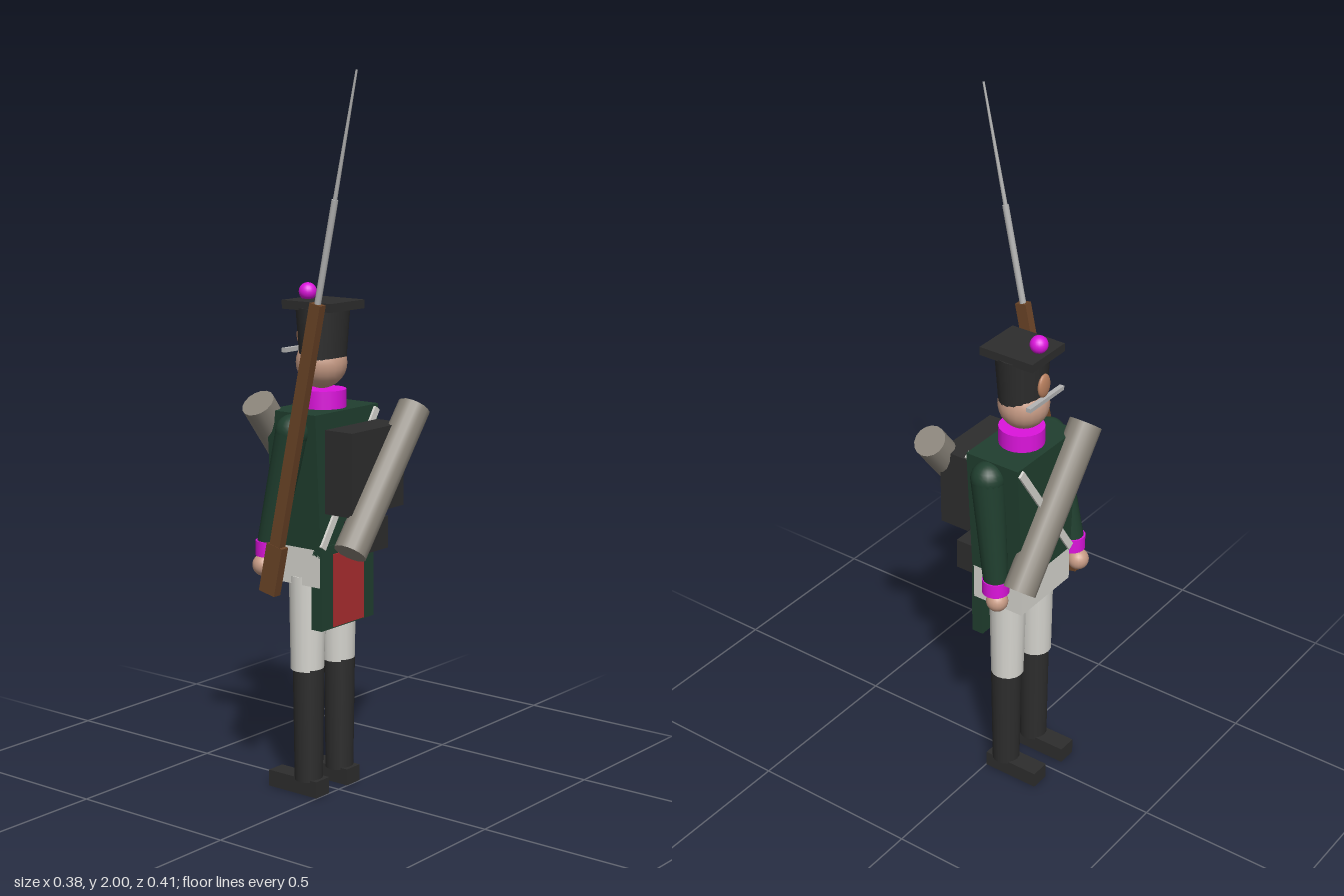
import * as THREE from 'three';

const mat = (name, color, extra = {}) => {
  const m = new THREE.MeshStandardMaterial({ color, ...extra });
  m.name = name;
  return m;
};

export function createModel() {
  const group = new THREE.Group();
  const green = mat('coat green', 0x203f2f);
  const black = mat('black leather', 0x2d2d2d);
  const white = mat('white cloth', 0xd6d5cf);
  const grey = mat('blanket grey', 0x8a847a);
  const magenta = mat('facing magenta', 0xdc14dc);
  const red = mat('turnback red', 0xaa2c2f);
  const brown = mat('wood brown', 0x6b4427);
  const skin = mat('skin', 0xc89c86);
  const steel = mat('steel', 0xb4b4b4);
  const copper = mat('copper', 0xb9805f);

  const add = (name, geo, material, x = 0, y = 0, z = 0) => {
    const m = new THREE.Mesh(geo, material);
    m.name = name;
    m.position.set(x, y, z);
    group.add(m);
    return m;
  };
  const box = (name, material, w, h, d, x, y, z) =>
    add(name, new THREE.BoxGeometry(w, h, d), material, x, y, z);
  const ball = (name, material, r, x, y, z) =>
    add(name, new THREE.SphereGeometry(r, 20, 14), material, x, y, z);
  // Tapered rod between two points
  const UP = new THREE.Vector3(0, 1, 0);
  const rod = (name, material, a, b, ra, rb = ra, sides = 16) => {
    const p = new THREE.Vector3(...a), q = new THREE.Vector3(...b);
    const dir = q.clone().sub(p);
    const m = add(name, new THREE.CylinderGeometry(rb, ra, dir.length(), sides), material);
    m.position.copy(p).add(q).multiplyScalar(0.5);
    m.quaternion.setFromUnitVectors(UP, dir.normalize());
    return m;
  };

  // Legs and boots
  for (const s of [-1, 1]) {
    rod('trouserLeg', white, [s * 0.069, 0.36, -0.056], [s * 0.066, 0.63, -0.056], 0.047, 0.053);
    rod('boot', black, [s * 0.069, 0.04, -0.052], [s * 0.069, 0.365, -0.052], 0.04, 0.044);
    box('foot', black, 0.058, 0.047, 0.172, s * 0.069, 0.0235, -0.088);
  }

  // Torso tapering to the waist
  const torso = new THREE.BoxGeometry(0.276, 0.375, 0.17);
  const pos = torso.attributes.position;
  for (let i = 0; i < pos.count; i++) {
    if (pos.getY(i) < 0) pos.setX(i, pos.getX(i) * 0.84);
  }
  torso.computeVertexNormals();
  add('torso', torso, green, 0, 0.9025, -0.055);
  box('waistBand', white, 0.23, 0.108, 0.164, 0, 0.664, -0.056);

  // Coat tails with coloured panel
  box('coatTails', green, 0.23, 0.235, 0.036, 0, 0.607, 0.015);
  box('turnback', red, 0.134, 0.205, 0.006, 0, 0.596, 0.034);

  // Shoulder belt across chest and back
  for (const z of [-0.143, 0.033]) {
    const strap = box('crossBelt', white, 0.022, 0.43, 0.008, 0.008, 0.9, z);
    strap.rotation.z = -Math.atan2(0.24, 0.36);
  }

  // Arms: the right one reaches forward to the musket
  for (const [s, wz, hz] of [[1, -0.077, -0.08], [-1, -0.122, -0.145]]) {
    ball('shoulder', green, 0.048, s * 0.142, 1.04, -0.045);
    rod('sleeve', green, [s * 0.152, 0.72, wz], [s * 0.143, 1.04, -0.045], 0.034, 0.047);
    rod('cuff', magenta, [s * 0.152, 0.69, wz], [s * 0.152, 0.732, wz], 0.038);
    ball('hand', skin, 0.031, s * 0.15, 0.658, hz);
  }

  // Collar, head and shako
  rod('collar', magenta, [0, 1.085, -0.054], [0, 1.14, -0.054], 0.064, 0.064, 20);
  ball('head', skin, 0.071, 0, 1.212, -0.06);
  rod('shakoBody', black, [0, 1.222, -0.055], [0, 1.365, -0.055], 0.068, 0.079, 20).scale.z = 0.92;
  box('shakoTop', black, 0.148, 0.024, 0.17, 0, 1.372, -0.054);
  box('shakoPeak', steel, 0.155, 0.012, 0.014, 0, 1.247, -0.13);
  ball('shakoBadge', copper, 0.03, 0, 1.285, -0.125).scale.set(0.85, 1.15, 0.35);
  ball('pompom', magenta, 0.025, 0, 1.403, -0.108);

  // Knapsack, cartridge box and crossed blanket rolls
  box('knapsack', black, 0.23, 0.23, 0.092, 0, 0.935, 0.091);
  box('knapsackMount', black, 0.18, 0.18, 0.02, 0, 0.935, 0.036);
  box('cartridgeBox', black, 0.135, 0.09, 0.05, 0.053, 0.735, 0.055);
  rod('backBlanket', grey, [-0.136, 0.73, 0.147], [0.147, 1.09, 0.147], 0.046);
  rod('frontBlanket', grey, [0.154, 0.723, -0.158], [-0.154, 1.108, -0.158], 0.047);

  // Musket leaning back along one line
  const at = (y) => [-0.178, y, 0.2 - (2 - y) * 0.213];
  const lean = Math.atan(0.213);
  const stock = box('musketStock', brown, 0.025, 0.82, 0.036, ...at(0.995));
  stock.rotation.x = lean;
  const butt = box('musketButt', brown, 0.027, 0.14, 0.055, ...at(0.66));
  butt.rotation.x = lean;
  rod('musketBarrel', steel, at(1.38), at(1.67), 0.009, 0.009, 10);
  rod('bayonet', steel, at(1.66), at(2.0), 0.006, 0.003, 8);

  return group;
}
